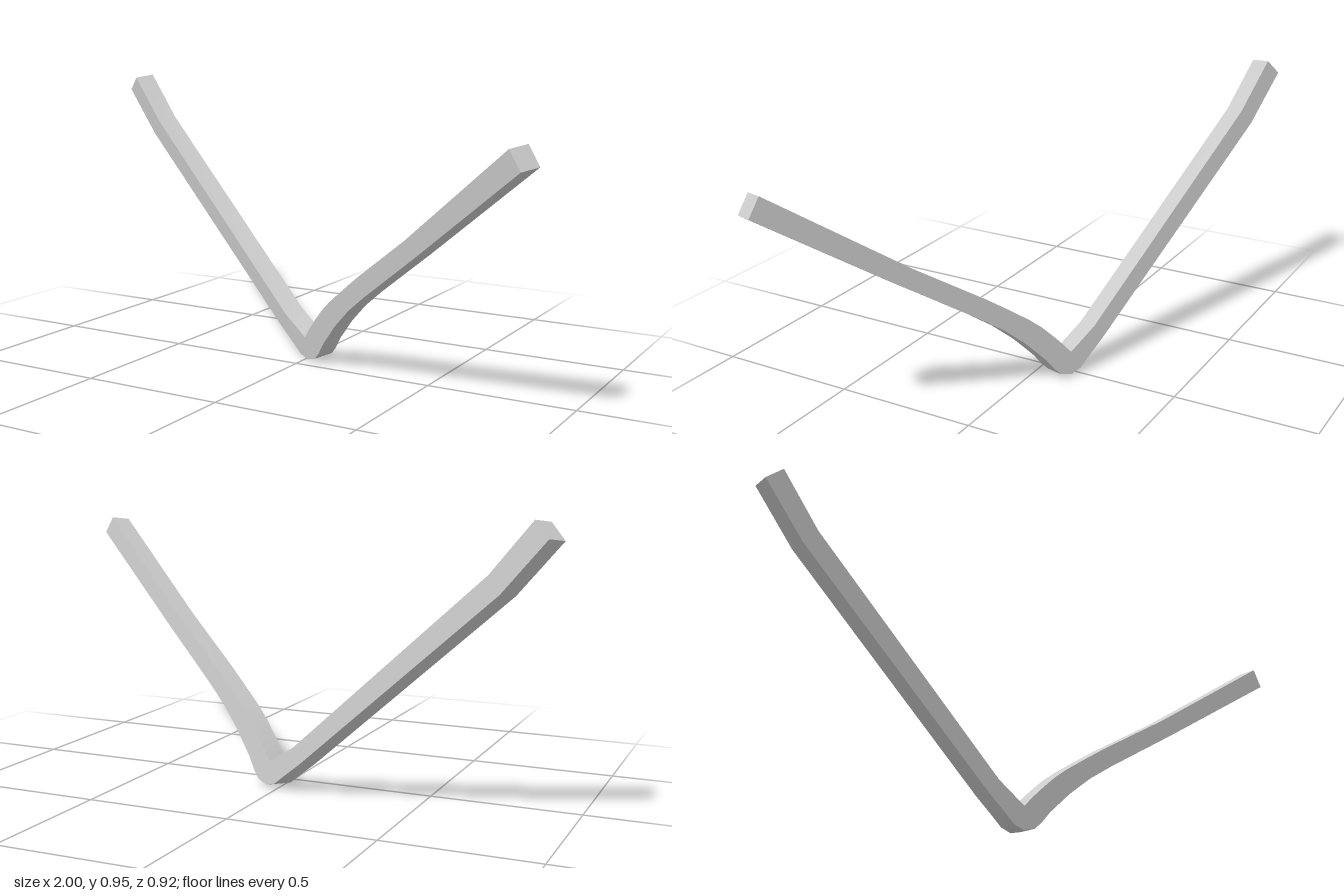
import * as THREE from 'three';
import { toCreasedNormals } from 'three/addons/utils/BufferGeometryUtils.js';

// Square bar bent into a V: a flat profile, extruded and laid into a tilted plane
export function createModel() {
  const group = new THREE.Group();
  group.name = 'bentBar';

  // Outer edge, from the right arm tip down around the bend to the left arm tip
  const outer = [
    [-1.0, 0.89], [-0.855, 0.725], [-0.13, 0.095], [-0.073, 0.05], [-0.027, 0.012],
    [0.01, 0.0], [0.05, 0.013], [0.072, 0.038], [0.1, 0.081], [0.167, 0.161],
    [0.238, 0.231], [0.32, 0.297], [0.553, 0.471], [0.966, 0.788],
  ];
  // Inner edge, back from the left arm to the right arm
  const inner = [
    [0.927, 0.848], [0.515, 0.521], [0.29, 0.357], [0.217, 0.3], [0.144, 0.241],
    [0.1, 0.2], [0.057, 0.151], [0.025, 0.112], [0.003, 0.081],
    [-0.03, 0.101], [-0.1, 0.146], [-0.815, 0.778], [-0.953, 0.94],
  ];
  const shape = new THREE.Shape([...outer, ...inner].map(([x, y]) => new THREE.Vector2(x, y)));
  const geometry = new THREE.ExtrudeGeometry(shape, { depth: 1, bevelEnabled: false });

  // Tilt: z follows x and y across the face, thickness runs along the face normal
  const thickness = new THREE.Vector3(-0.03, -0.009, 0.068);
  const tilt = new THREE.Matrix4().makeBasis(
    new THREE.Vector3(1, 0, 0.44), new THREE.Vector3(0, 1, 0.13), thickness);
  tilt.setPosition(0.03, 0.009, -0.067 - 0.068);
  geometry.applyMatrix4(tilt);

  const bar = new THREE.Mesh(
    toCreasedNormals(geometry, 0.5),
    new THREE.MeshStandardMaterial({ color: 0xcccccc }));
  bar.name = 'bar';
  group.add(bar);
  return group;
}
